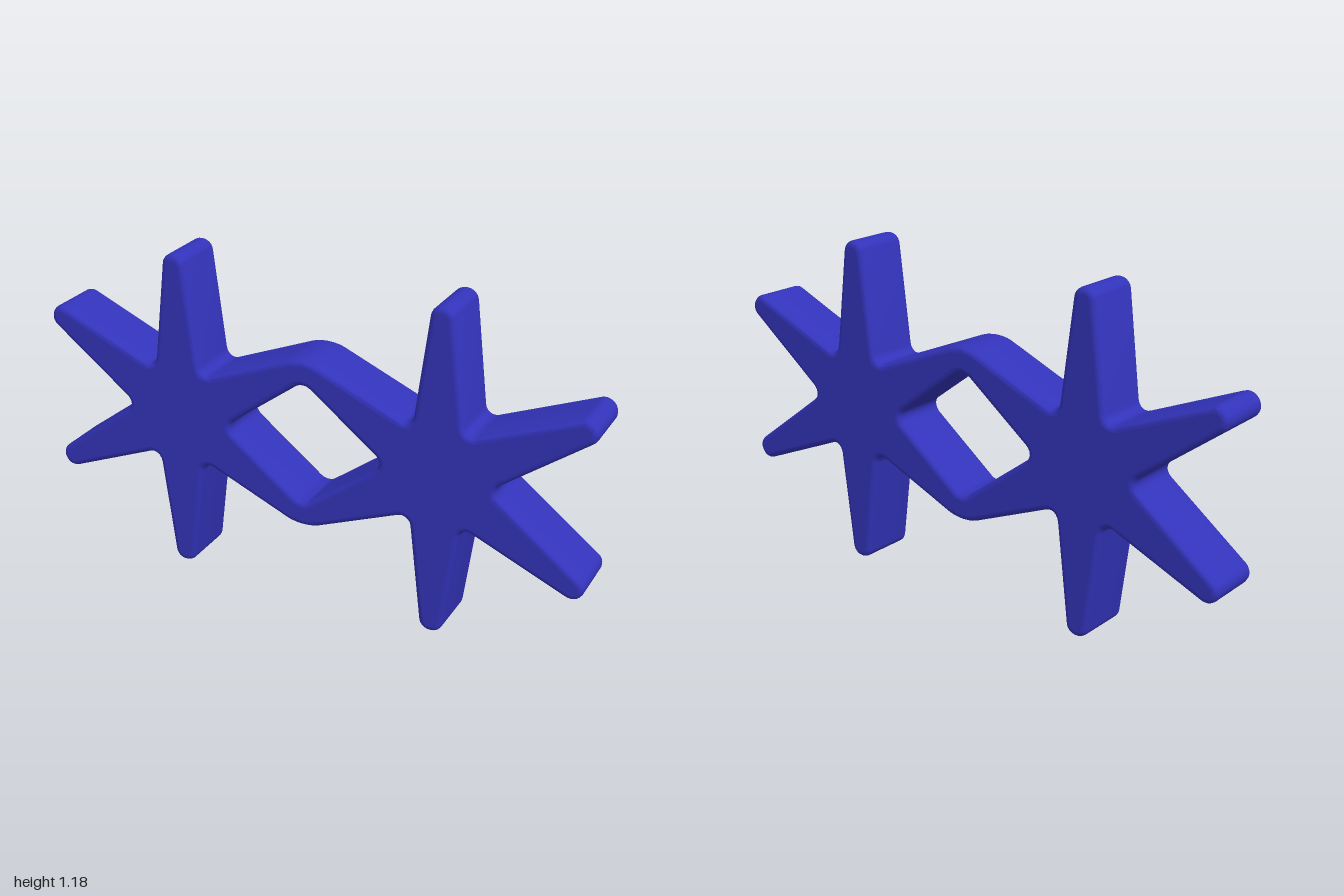
import * as THREE from 'three';
import { toCreasedNormals } from 'three/addons/utils/BufferGeometryUtils.js';

const CY = 0.593, CX = 0.487;      // star centres at (+-CX, CY)
const ARM = 0.592, NOTCH = 0.184;  // tip and notch radii
const TIP = 0.038;                 // half width of an arm tip
const HALF = 0.105, BEVEL = 0.02;  // half thickness and edge rounding

// Corner = [x, y, fillet length]
function notch(cx, deg) {
  const a = THREE.MathUtils.degToRad(deg);
  return [cx + NOTCH * Math.cos(a), CY + NOTCH * Math.sin(a), 0.045];
}

function arm(cx, deg) {
  const a = THREE.MathUtils.degToRad(deg), c = Math.cos(a), s = Math.sin(a);
  return [-TIP, TIP].map((w) => [cx + ARM * c - w * s, CY + ARM * s + w * c, 0.035]);
}

// Closed path through the corners, each one rounded
function roundedPath(path, corners) {
  const n = corners.length;
  corners.forEach(([x, y, r], i) => {
    const p = new THREE.Vector2(x, y);
    const toward = (q, d) => new THREE.Vector2(q[0], q[1]).sub(p).setLength(d).add(p);
    const prev = corners[(i + n - 1) % n], next = corners[(i + 1) % n];
    const a = toward(prev, r), b = toward(next, r);
    const ca = toward(prev, r * 0.45), cb = toward(next, r * 0.45);
    if (i === 0) path.moveTo(a.x, a.y); else path.lineTo(a.x, a.y);
    path.bezierCurveTo(ca.x, ca.y, cb.x, cb.y, b.x, b.y);
  });
  path.closePath();
  return path;
}

// Free arms and notches of one star, counter-clockwise from a starting notch
function starSide(cx, start) {
  const list = [];
  for (let i = 0; i < 5; i++) {
    list.push(notch(cx, start + i * 60));
    if (i < 4) list.push(...arm(cx, start + 30 + i * 60));
  }
  return list;
}

export function createModel() {
  const group = new THREE.Group();
  group.name = 'doubleStar';

  // Outer outline: two six-armed stars whose inner arms meet at x = 0
  const shape = roundedPath(new THREE.Shape(), [
    [0, CY - 0.324, 0.065], ...starSide(CX, 240),
    [0, CY + 0.324, 0.065], ...starSide(-CX, 60),
  ]);

  // Diamond opening between the stars
  shape.holes.push(roundedPath(new THREE.Path(), [
    notch(CX, 180), [0, CY - 0.231, 0.035], notch(-CX, 0), [0, CY + 0.231, 0.035],
  ]));

  const depth = 2 * (HALF - BEVEL);
  let geo = new THREE.ExtrudeGeometry(shape, {
    depth, curveSegments: 6, bevelEnabled: true, bevelSegments: 4,
    bevelSize: BEVEL, bevelThickness: BEVEL, bevelOffset: -BEVEL,
  });
  geo.translate(0, 0, -depth / 2);
  geo = toCreasedNormals(geo, 0.7);

  // Keep the front and back faces evenly flat
  const pos = geo.attributes.position, nor = geo.attributes.normal;
  for (let i = 0; i < pos.count; i += 3) {
    const z = pos.getZ(i) + pos.getZ(i + 1) + pos.getZ(i + 2);
    if (Math.abs(z) > 3 * HALF - 1e-4) {
      for (let k = 0; k < 3; k++) nor.setXYZ(i + k, 0, 0, Math.sign(z));
    }
  }

  const mesh = new THREE.Mesh(geo, new THREE.MeshStandardMaterial({ color: 0x3333bb }));
  mesh.name = 'joinedStars';
  group.add(mesh);
  return group;
}
